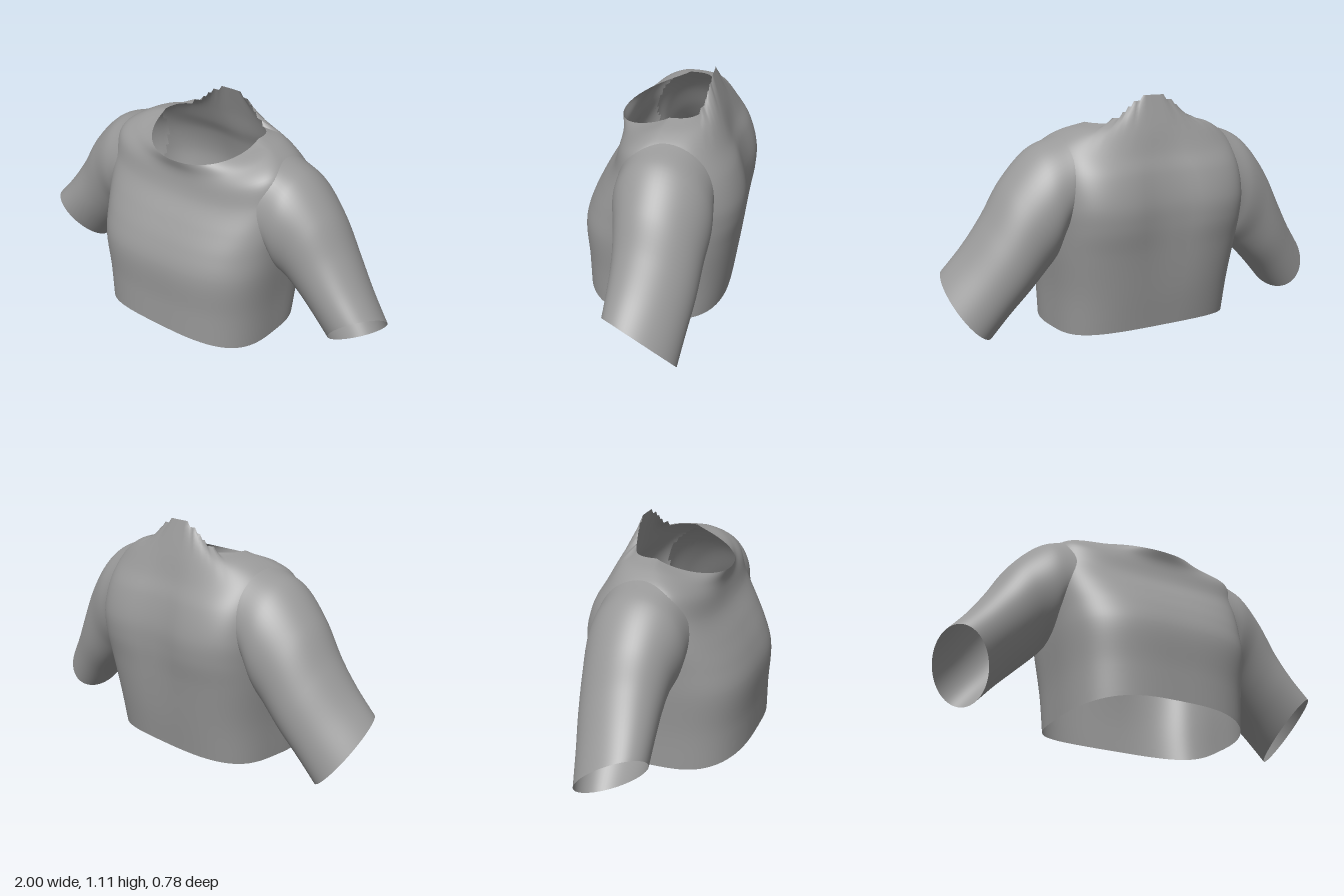
import * as THREE from 'three';

const cloth = new THREE.MeshStandardMaterial({ color: 0x999999, side: THREE.DoubleSide });
cloth.name = 'grey cloth';

// Skin a smooth tube through closed rings; ring(i, a) gives the point of ring i at angle a.
function loft(ringCount, ring, around, along, skip = () => false) {
  const pos = [], index = [];
  for (let j = 0; j < around; j++) {
    const a = (j / around) * Math.PI * 2;
    const pts = [];
    for (let i = 0; i < ringCount; i++) pts.push(ring(i, a));
    const curve = new THREE.CatmullRomCurve3(pts);
    for (let k = 0; k <= along; k++) pos.push(...curve.getPoint(k / along).toArray());
  }
  const at = (j, k) => (j % around) * (along + 1) + k;
  const vert = (n) => new THREE.Vector3().fromArray(pos, n * 3);
  for (let j = 0; j < around; j++) {
    for (let k = 0; k < along; k++) {
      const a = at(j, k), b = at(j + 1, k), c = at(j + 1, k + 1), d = at(j, k + 1);
      if (skip(vert(a).add(vert(c)).multiplyScalar(0.5))) continue;
      index.push(a, d, b, b, d, c);
    }
  }
  const geo = new THREE.BufferGeometry();
  geo.setAttribute('position', new THREE.Float32BufferAttribute(pos, 3));
  geo.setIndex(index);
  geo.computeVertexNormals();
  return geo;
}

// Body rings: half width, front z, back z, side y, front y, back y, squareness front, back, spine groove
const body = [
  [0.447, 0.383, -0.318, 0.005, 0.058, 0.03, 0.66, 0.66, 0],
  [0.458, 0.385, -0.347, 0.2, 0.21, 0.2, 0.66, 0.62, 0.006],
  [0.48, 0.39, -0.376, 0.4, 0.41, 0.4, 0.66, 0.56, 0.018],
  [0.49, 0.355, -0.397, 0.52, 0.52, 0.53, 0.68, 0.53, 0.033],
  [0.5, 0.3, -0.397, 0.63, 0.62, 0.63, 0.68, 0.53, 0.038],
  [0.5, 0.237, -0.362, 0.77, 0.72, 0.76, 0.7, 0.58, 0.034],
  [0.475, 0.217, -0.313, 0.89, 0.79, 0.85, 0.74, 0.7, 0.022],
  [0.385, 0.215, -0.26, 0.956, 0.84, 0.96, 0.86, 0.75, 0.005],
  [0.28, 0.23, -0.198, 0.985, 0.89, 1.11, 0.95, 0.65, 0],
];

function bodyRing(i, a) {
  const [w, zf, zb, ys, yf, yb, pf, pb, groove] = body[i];
  const c = Math.cos(a), s = Math.sin(a), as = Math.abs(s);
  const neck = Math.max(0, i - 6) / 2;
  const front = s > 0;
  const x = w * Math.sign(c) * Math.abs(c) ** (front ? pf : Math.max(pb, 0.9 * neck));
  let z = front ? zf * as ** pf : zb * as ** pb + groove * Math.exp(-((x / 0.15) ** 2));
  z -= 0.04 * neck * (1 - as);
  let y = ys + ((front ? yf : yb) - ys) * as ** (front ? 2 - 1.2 * neck : 2 + 4 * neck);
  // ragged back edge of the collar
  if (i === body.length - 1 && !front) y = 0.985 + Math.round((y - 0.985) / 0.025) * 0.025;
  return new THREE.Vector3(x, y, z);
}

// Armhole: an oval seen from the side
const armhole = { y: 0.68, z: -0.05, ry: 0.25, rz: 0.225 };
const inArmhole = (v) =>
  Math.abs(v.x) > 0.3 &&
  ((v.y - armhole.y) / armhole.ry) ** 2 + ((v.z - armhole.z) / armhole.rz) ** 2 < 0.9;

// Point of the armhole edge lying on the body surface
function armholePoint(bodyMesh, a) {
  const origin = new THREE.Vector3(
    2, armhole.y + armhole.ry * Math.cos(a), armhole.z + armhole.rz * Math.sin(a));
  const ray = new THREE.Raycaster(origin, new THREE.Vector3(-1, 0, 0));
  return ray.intersectObject(bodyMesh)[0].point;
}

// Sleeve rings beyond the armhole: top x, top y, bottom x, bottom y, front z, back z
const sleeve = [
  [0.56, 0.88, 0.492, 0.375, 0.172, -0.28],
  [0.7, 0.738, 0.535, 0.325, 0.148, -0.26],
  [0.8, 0.573, 0.61, 0.25, 0.133, -0.24],
  [0.89, 0.44, 0.7, 0.16, 0.13, -0.21],
  [0.985, 0.325, 0.79, 0.06, 0.13, -0.18],
];

function sleevePoint(i, a) {
  const [tx, ty, bx, by, zf, zb] = sleeve[i];
  const twist = (i + 1) / sleeve.length;
  const c = Math.cos(a), s = Math.sin(a);
  return new THREE.Vector3(
    (tx + bx) / 2 + ((tx - bx) / 2) * c - 0.055 * twist * s,
    (ty + by) / 2 + ((ty - by) / 2) * c + 0.05 * twist * s,
    (zf + zb) / 2 + ((zf - zb) / 2) * s + 0.06 * twist * c
  );
}

export function createModel() {
  const model = new THREE.Group();
  model.name = 'croppedShirt';
  const add = (name, geo) => {
    const mesh = new THREE.Mesh(geo, cloth);
    mesh.name = name;
    model.add(mesh);
  };
  add('shirtBody', loft(body.length, bodyRing, 112, 56, inArmhole));

  // Sleeves start on the uncut body so that they meet it without a step
  const uncut = new THREE.Mesh(loft(body.length, bodyRing, 112, 56), cloth);
  for (const [name, side] of [['leftSleeve', 1], ['rightSleeve', -1]]) {
    const ring = (i, a) => {
      const p = i === 0 ? armholePoint(uncut, a) : sleevePoint(i - 1, a);
      p.x *= side;
      return p;
    };
    add(name, loft(sleeve.length + 1, ring, 64, 36));
  }
  return model;
}
